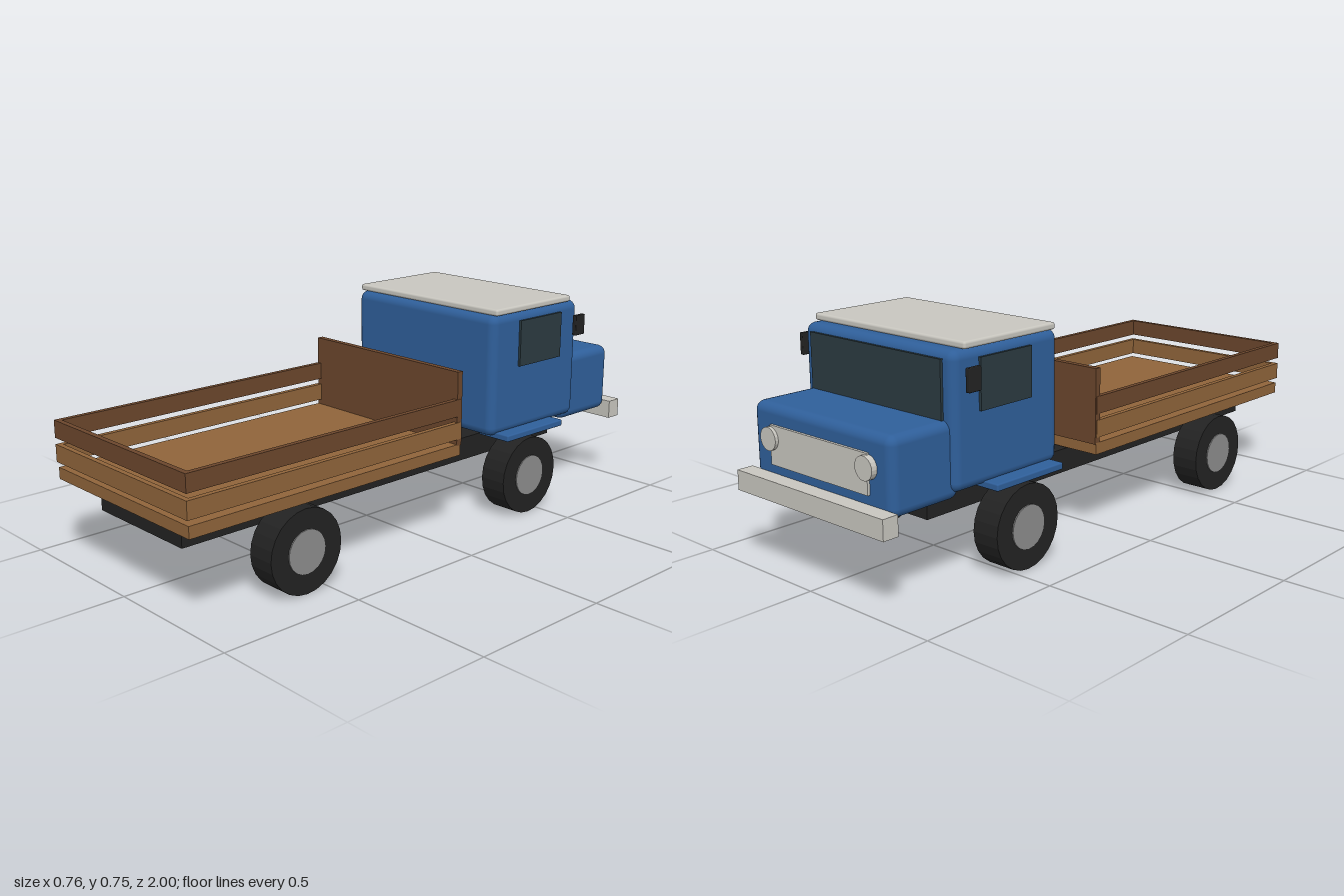
import * as THREE from 'three';
import { RoundedBoxGeometry } from 'three/addons/geometries/RoundedBoxGeometry.js';

const paint = (name, color) => {
  const m = new THREE.MeshStandardMaterial({ color });
  m.name = name;
  return m;
};

export function createModel() {
  const blue = paint('blue paint', 0x2f5f9a);
  const cream = paint('off-white trim', 0xc8c6bf);
  const wood = paint('light wood', 0x8f643a);
  const darkWood = paint('dark wood', 0x6b462c);
  const black = paint('black', 0x222222);
  const glass = paint('glass', 0x2b3a40);
  const steel = paint('hub grey', 0x8c8c8c);

  const truck = new THREE.Group();
  truck.name = 'flatbedTruck';

  const add = (name, geometry, material, x, y, z) => {
    const mesh = new THREE.Mesh(geometry, material);
    mesh.name = name;
    mesh.position.set(x, y, z);
    truck.add(mesh);
    return mesh;
  };

  // Box given by its limits on each axis, with optional rounded edges
  const block = (name, material, [x0, x1], [y0, y1], [z0, z1], radius = 0) => {
    const size = [x1 - x0, y1 - y0, z1 - z0];
    const geometry = radius
      ? new RoundedBoxGeometry(...size, 3, radius)
      : new THREE.BoxGeometry(...size);
    return add(name, geometry, material, (x0 + x1) / 2, (y0 + y1) / 2, (z0 + z1) / 2);
  };

  // Cylinder with flat-shaded facets, lying along the x or z axis
  const disc = (radius, width, sides, axis) => {
    let g = new THREE.CylinderGeometry(radius, radius, width, sides);
    if (axis === 'x') g.rotateZ(Math.PI / 2);
    else g.rotateX(Math.PI / 2);
    g = g.toNonIndexed();
    g.computeVertexNormals();
    return g;
  };

  // Chassis
  block('chassis', black, [-0.215, 0.215], [0.2, 0.28], [-0.725, 0.93]);

  // Cab, facing -z
  block('cab', blue, [-0.333, 0.333], [0.302, 0.725], [-0.723, -0.27], 0.03);
  block('roof', cream, [-0.333, 0.333], [0.724, 0.747], [-0.677, -0.285], 0.008);
  block('hood', blue, [-0.313, 0.313], [0.278, 0.52], [-0.945, -0.68], 0.03);
  block('windscreen', glass, [-0.29, 0.29], [0.5, 0.7], [-0.732, -0.7225]);

  // Nose trim
  block('grille', cream, [-0.22, 0.22], [0.335, 0.46], [-0.954, -0.944]);
  block('bumper', cream, [-0.333, 0.333], [0.24, 0.305], [-1, -0.944]);

  // Cargo bed
  block('bedFloor', wood, [-0.348, 0.348], [0.285, 0.324], [-0.1, 0.995]);
  block('headboard', darkWood, [-0.348, 0.348], [0.32, 0.572], [-0.105, -0.083]);
  const slats = [
    ['middleSlat', wood, [0.342, 0.4]],
    ['upperSlat', darkWood, [0.421, 0.479]],
  ];
  for (const [name, material, y] of slats) {
    block(name + 'Tail', material, [-0.35, 0.35], y, [0.982, 1]);
    for (const s of [-1, 1]) {
      const x = [s * 0.341 - 0.009, s * 0.341 + 0.009];
      block(name + 'Side', material, x, y, [-0.1, 0.982]);
    }
  }

  // Parts mirrored on both sides
  const tyreGeometry = disc(0.138, 0.098, 24, 'x');
  const hubGeometry = disc(0.072, 0.106, 20, 'x');
  const lampGeometry = disc(0.037, 0.022, 20, 'z');
  for (const s of [-1, 1]) {
    const span = (a, b) => (s > 0 ? [a, b] : [-b, -a]);
    block('sideWindow', glass, span(0.332, 0.3415), [0.535, 0.695], [-0.62, -0.402]);
    block('mirror', black, span(0.363, 0.379), [0.61, 0.682], [-0.705, -0.655], 0.003);
    block('fender', blue, span(0.25, 0.382), [0.292, 0.315], [-0.597, -0.303], 0.005);
    add('headlight', lampGeometry, cream, s * 0.217, 0.418, -0.954);
    for (const z of [-0.445, 0.585]) {
      add('tyre', tyreGeometry, black, s * 0.315, 0.138, z);
      add('hub', hubGeometry, steel, s * 0.315, 0.138, z);
    }
  }

  return truck;
}
